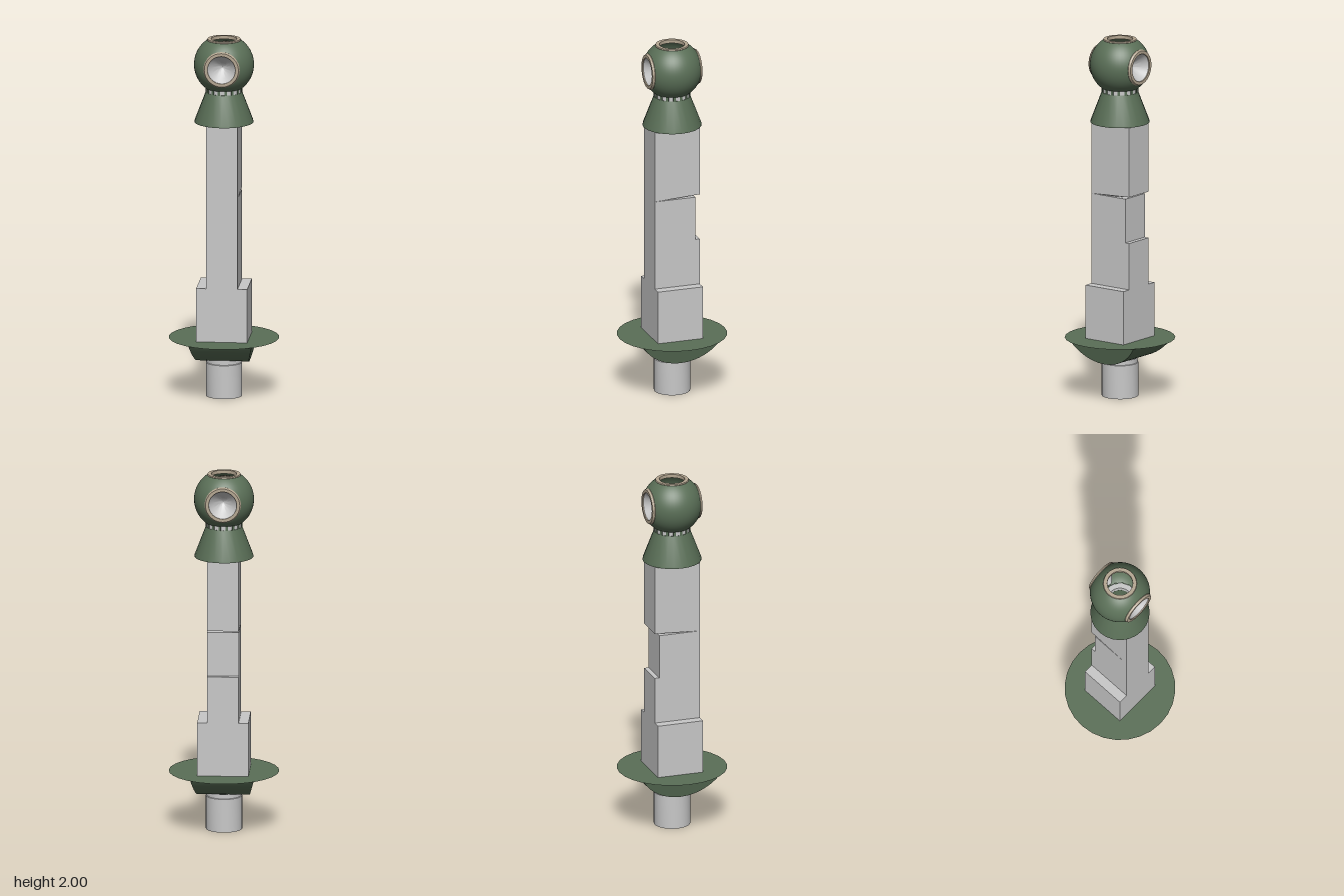
import * as THREE from 'three';
import { toCreasedNormals } from 'three/addons/utils/BufferGeometryUtils.js';

const BORE = 0.068;

export function createModel() {
  const group = new THREE.Group();
  const material = (name, color, side = THREE.FrontSide) => {
    const m = new THREE.MeshStandardMaterial({ color, side });
    m.name = name;
    return m;
  };
  const green = material('dark green', 0x5a6f57, THREE.DoubleSide);
  const grey = material('light grey', 0xc8c8c8, THREE.DoubleSide);
  const tan = material('tan', 0xb5a792, THREE.DoubleSide);

  const add = (name, geometry, mat, parent = group) => {
    const mesh = new THREE.Mesh(geometry, mat);
    mesh.name = name;
    parent.add(mesh);
    return mesh;
  };
  const lathe = (points, segments = 32) =>
    toCreasedNormals(new THREE.LatheGeometry(points.map(p => new THREE.Vector2(...p)), segments), 0.5);

  // Vertical prism from a plan outline of [x, z] points, bored through the middle
  const boredPrism = (plan, y0, y1) => {
    const shape = new THREE.Shape(plan.map(([x, z]) => new THREE.Vector2(x, -z)));
    shape.holes.push(new THREE.Path().absarc(0, 0, BORE, 0, Math.PI * 2, true));
    const geo = new THREE.ExtrudeGeometry(shape, { depth: y1 - y0, bevelEnabled: false, curveSegments: 16 });
    return geo.rotateX(-Math.PI / 2).translate(0, y0, 0);
  };
  const boredBox = (w, back, front, y0, y1) =>
    boredPrism([[-w, front], [w, front], [w, back], [-w, back]], y0, y1);
  const moveVertices = (geo, rule) => {
    const p = geo.attributes.position;
    const v = new THREE.Vector3();
    for (let i = 0; i < p.count; i++) {
      rule(v.fromBufferAttribute(p, i));
      p.setXYZ(i, v.x, v.y, v.z);
    }
    geo.computeVertexNormals();
    return geo;
  };

  // Socket tube with a narrow groove near the guard
  add('socketTube', lathe([[0.1, 0], [0.1, 0.187], [0.096, 0.189], [0.096, 0.215]]), grey);

  // Guard: flat disc over a curved, tapered keel
  add('guardDisc', new THREE.RingGeometry(BORE, 0.302, 28).rotateX(-Math.PI / 2).translate(0, 0.326, 0), green);
  const TOP = 0.325, R = 0.267;
  const keelY = z => 0.199 + R - Math.sqrt(R * R - z * z);
  const keelWidth = y => 0.142 + 0.032 * (y - 0.2) / 0.125;
  const zs = [-0.075, -0.04, 0, 0.04, 0.075];
  const plan = [...zs.map(z => [0.15, -z]), ...zs.map(z => [-0.15, z])];
  const middle = moveVertices(boredPrism(plan, 0, 1), v => {
    v.y = v.y > 0.5 ? TOP : keelY(v.z);
    if (Math.abs(v.x) > 0.14) v.x = Math.sign(v.x) * keelWidth(v.y);
  });
  add('keelMiddle', middle, green);
  const endShape = new THREE.Shape();
  endShape.moveTo(0.075, TOP);
  for (let i = 0; i <= 10; i++) {
    const z = 0.075 + 0.151 * i / 10;
    endShape.lineTo(z, keelY(z));
  }
  for (const turn of [0, Math.PI]) {
    const end = new THREE.ExtrudeGeometry(endShape, { depth: 2, bevelEnabled: false });
    end.translate(0, 0, -1).rotateY(-Math.PI / 2);
    moveVertices(end, v => { v.x *= keelWidth(v.y); });
    add('keelEnd', toCreasedNormals(end.rotateY(turn), 0.5), green);
  }

  // Square grip with a wide foot and a notch across the back
  add('gripFoot', boredBox(0.14, -0.13, 0.13, 0.326, 0.625), grey);
  add('gripLower', boredBox(0.087, -0.13, 0.13, 0.625, 0.885), grey);
  add('gripNotch', boredBox(0.087, -0.104, 0.13, 0.885, 1.13), grey);
  const upper = moveVertices(boredBox(0.087, -0.13, 0.13, 1.13, 1.535), v => {
    if (v.z < -0.12 && v.y < 1.2) v.y += 0.014;
  });
  add('gripUpper', upper, grey);

  // Flared skirt and slotted collar
  add('skirt', lathe([[BORE, 1.535], [0.162, 1.535], [0.16, 1.545], [0.1, 1.703], [BORE, 1.703], [BORE, 1.535]], 24), green);
  add('collar', lathe([[BORE, 1.7], [0.097, 1.7], [0.097, 1.735], [BORE, 1.735], [BORE, 1.7]]), grey);
  for (let i = 0; i < 16; i++) {
    const a = (i + 0.5) / 16 * Math.PI * 2;
    const post = add('collarPost', new THREE.BoxGeometry(0.014, 0.036, 0.008), green);
    post.position.set(Math.sin(a) * 0.096, 1.717, Math.cos(a) * 0.096);
    post.rotation.y = a;
  }

  // Hollow ball head, cut open at top, bottom, front and back
  const head = new THREE.Group();
  head.name = 'head';
  head.position.y = 1.856;
  group.add(head);
  add('ball', cutBall(0.164, [['y', 1, 0.137], ['y', -1, 0.13], ['z', 1, 0.131], ['z', -1, 0.131]]), green, head);
  add('topRim', lathe([[0.09, 0.134], [0.092, 0.138], [0.09, 0.144], [0.07, 0.144], [0.07, 0.125]]), tan, head);

  // Front and back windows: a rim around a funnel-shaped dish
  for (const turn of [0, Math.PI]) {
    const eye = new THREE.Group();
    eye.name = turn ? 'backWindow' : 'frontWindow';
    eye.rotation.set(Math.PI / 2, 0, turn);
    head.add(eye);
    add('windowRim', lathe([[0.099, 0.128], [0.1, 0.133], [0.094, 0.144], [0.077, 0.144], [0.077, 0.138]]), tan, eye);
    add('windowDish', lathe([[0.078, 0.139], [0.055, 0.112], [0.03, 0.088], [0.012, 0.073], [0, 0.068]]), grey, eye);
  }
  return group;
}

// Sphere shell with round openings; vertices past a cut slide onto its rim circle
function cutBall(radius, cuts) {
  const source = new THREE.SphereGeometry(radius, 48, 36).toNonIndexed().attributes.position;
  const positions = [];
  const normals = [];
  for (let i = 0; i < source.count; i += 3) {
    const tri = [0, 1, 2].map(k => new THREE.Vector3().fromBufferAttribute(source, i + k));
    if (cuts.some(([axis, s, d]) => tri.every(v => v[axis] * s > d))) continue;
    for (const v of tri) {
      for (const [axis, s, d] of cuts) {
        if (v[axis] * s <= d) continue;
        v[axis] = 0;
        v.setLength(Math.sqrt(radius * radius - d * d));
        v[axis] = s * d;
      }
      positions.push(v.x, v.y, v.z);
      normals.push(v.x / radius, v.y / radius, v.z / radius);
    }
  }
  const geo = new THREE.BufferGeometry();
  geo.setAttribute('position', new THREE.Float32BufferAttribute(positions, 3));
  geo.setAttribute('normal', new THREE.Float32BufferAttribute(normals, 3));
  return geo;
}
